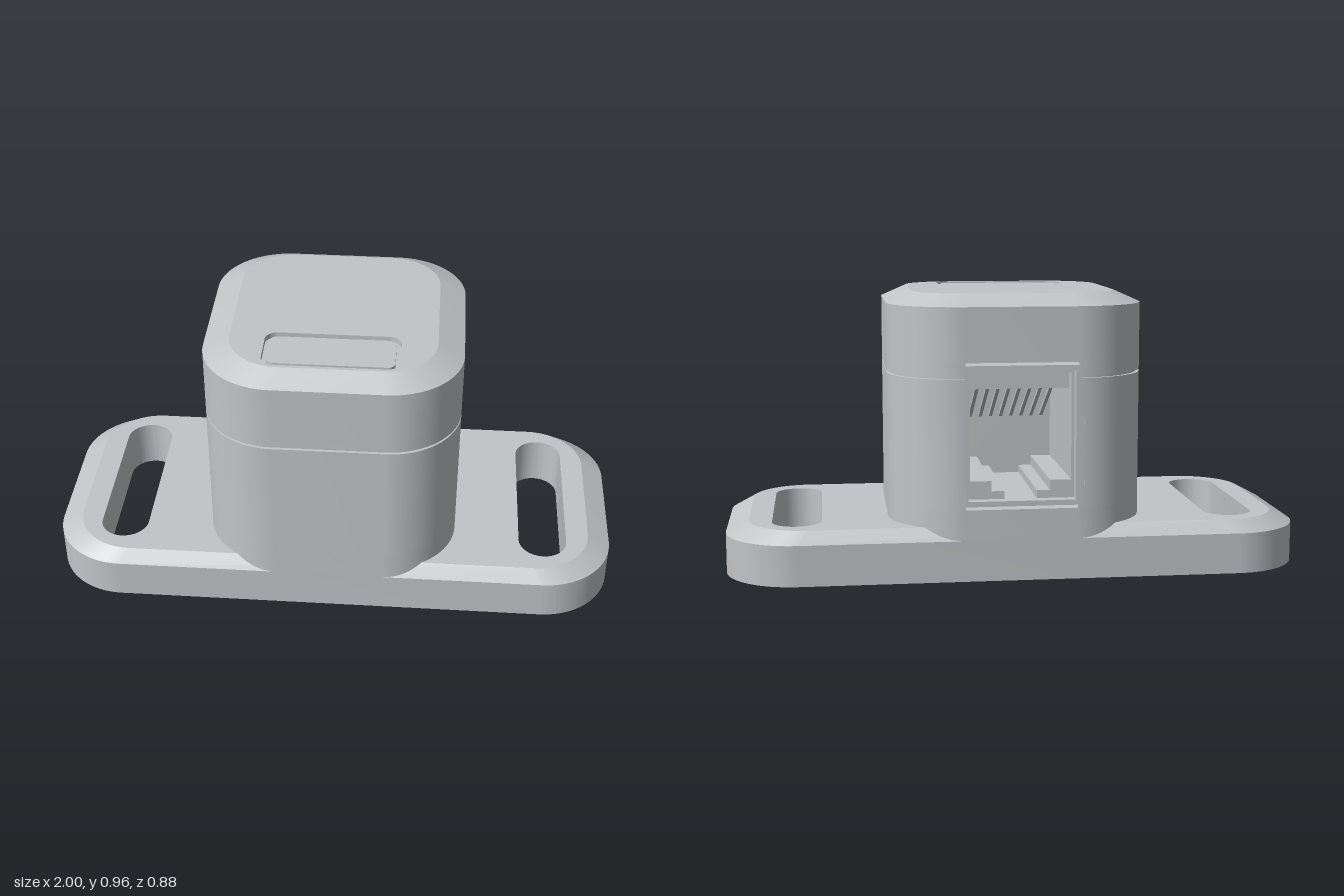
import * as THREE from 'three';
import { toCreasedNormals } from 'three/addons/utils/BufferGeometryUtils.js';

const grey = new THREE.MeshStandardMaterial({ color: 0xc2c4c8 });
grey.name = 'light grey plastic';

// Rounded rectangle, optionally notched in its +y side (the back, once laid flat)
function roundRect(hx, hy, r, cx = 0, cy = 0, notchHalf = 0, notchDepth = 0) {
  const s = new THREE.Shape();
  const H = Math.PI / 2;
  s.moveTo(cx + hx, cy - hy + r);
  s.absarc(cx + hx - r, cy + hy - r, r, 0, H, false);
  if (notchHalf) {
    s.lineTo(notchHalf, hy);
    s.lineTo(notchHalf, hy - notchDepth);
    s.lineTo(-notchHalf, hy - notchDepth);
    s.lineTo(-notchHalf, hy);
  }
  s.absarc(cx - hx + r, cy + hy - r, r, H, 2 * H, false);
  s.absarc(cx - hx + r, cy - hy + r, r, 2 * H, 3 * H, false);
  s.absarc(cx + hx - r, cy - hy + r, r, 3 * H, 4 * H, false);
  return s;
}

function withHoles(shape, ...holes) {
  shape.holes.push(...holes);
  return shape;
}

// Horizontal slab of a plan shape between two heights
function slab(shape, y0, y1) {
  const g = new THREE.ExtrudeGeometry(shape, { depth: y1 - y0, bevelEnabled: false, curveSegments: 14 });
  g.rotateX(-Math.PI / 2).translate(0, y0, 0);
  return toCreasedNormals(g, 0.5);
}

// Flat upward face of a plan shape
function sheet(shape, y) {
  return new THREE.ShapeGeometry(shape, 14).rotateX(-Math.PI / 2).translate(0, y, 0);
}

// Sloping band between two rounded rectangles [y, hx, hz, r]
function band(lower, upper) {
  const n = 14, pos = [], idx = [], count = 4 * (n + 1);
  for (const [y, hx, hz, r] of [lower, upper]) {
    for (let q = 0; q < 4; q++) {
      const sx = q === 0 || q === 3 ? 1 : -1, sz = q < 2 ? 1 : -1;
      for (let i = 0; i <= n; i++) {
        const a = (q + i / n) * Math.PI / 2;
        pos.push(sx * (hx - r) + r * Math.cos(a), y, -(sz * (hz - r) + r * Math.sin(a)));
      }
    }
  }
  for (let i = 0; i < count; i++) {
    const j = (i + 1) % count;
    idx.push(i, j, j + count, i, j + count, i + count);
  }
  const g = new THREE.BufferGeometry();
  g.setAttribute('position', new THREE.Float32BufferAttribute(pos, 3));
  g.setIndex(idx);
  return toCreasedNormals(g, 0.5);
}

export function createModel() {
  const model = new THREE.Group();
  model.name = 'mountedSocketBox';
  const add = (name, geometry, parent = model) => {
    const m = new THREE.Mesh(geometry, grey);
    m.name = name;
    parent.add(m);
    return m;
  };
  const group = (name) => {
    const g = new THREE.Group();
    g.name = name;
    model.add(g);
    return g;
  };

  // Mounting base: hollow rim, ceiling, chamfer and top with two slots
  const base = group('mountingBase');
  const slot = (side, grow = 0) => roundRect(0.085 + grow, 0.335 + grow, 0.0849 + grow, side * 0.755, 0);
  const slots = () => [slot(-1), slot(1)];
  add('baseRim', slab(withHoles(roundRect(1, 0.44, 0.25), roundRect(0.965, 0.405, 0.215)), 0, 0.14), base);
  add('baseCeiling', slab(withHoles(roundRect(0.98, 0.42, 0.23), ...slots()), 0.125, 0.139), base);
  add('baseChamfer', band([0.14, 1, 0.44, 0.25], [0.182, 0.92, 0.4, 0.2]), base);
  add('baseTop', sheet(withHoles(roundRect(0.92, 0.4, 0.2), ...slots()), 0.182), base);

  // Underside: slot walls, screw bosses and stiffening ribs
  const under = group('underside');
  const rib = (w, d, x, z) => add('rib', new THREE.BoxGeometry(w, 0.12, d).translate(x, 0.075, z), under);
  for (const sx of [-1, 1]) {
    add('slotWall', slab(withHoles(slot(sx, 0.028), slot(sx)), 0.002, 0.181), under);
    for (const sz of [-1, 1]) {
      const boss = new THREE.Shape().absarc(sx * 0.27, sz * 0.26, 0.095, 0, Math.PI * 2, false);
      const bore = new THREE.Path().absarc(sx * 0.27, sz * 0.26, 0.065, 0, Math.PI * 2, true);
      add('screwBoss', slab(withHoles(boss, bore), 0, 0.13), under);
      rib(0.024, 0.08, sx * 0.27, sz * 0.375);
      rib(0.024, 0.08, sx * 0.755, sz * 0.38);
    }
    rib(0.024, 0.34, sx * 0.27, 0);
    rib(0.11, 0.024, sx * 0.92, 0);
  }
  rib(1.3, 0.024, 0, 0);
  rib(0.024, 0.82, 0, 0);

  // Housing: lower body, seam and lid, notched at the back for the socket
  const notchHalf = 0.21, notchDepth = 0.58, sill = 0.245, lintel = 0.74;
  const notched = (h, r) => roundRect(h, h, r, 0, 0, notchHalf, notchDepth - (0.44 - h));
  const housing = group('housing');
  add('bodyFoot', slab(roundRect(0.44, 0.44, 0.25), 0.14, sill), housing);
  add('body', slab(notched(0.44, 0.25), sill, 0.686), housing);
  add('seam', slab(notched(0.427, 0.237), 0.686, 0.694), housing);
  add('lidSkirt', slab(notched(0.44, 0.25), 0.694, lintel), housing);
  add('lid', slab(roundRect(0.44, 0.44, 0.25), lintel, 0.925), housing);
  add('lidChamfer', band([0.925, 0.44, 0.44, 0.25], [0.965, 0.35, 0.365, 0.18]), housing);

  // Lid top with a grooved label panel near the front
  const panel = (grow) => roundRect(0.212 + grow, 0.08 + grow, 0.025 + grow, 0, -0.255);
  add('lidTop', sheet(withHoles(roundRect(0.35, 0.365, 0.18), panel(0.017)), 0.965), housing);
  add('labelGroove', slab(withHoles(panel(0.03), panel(0.017)), 0.945, 0.9645), housing);
  add('labelPanel', slab(panel(0), 0.94, 0.96), housing);

  // Socket: rim, stepped cavity, back wall and contact wires
  const socket = group('socket');
  const rect = (x, y0, y1) => new THREE.Shape([[-x, y0], [x, y0], [x, y1], [-x, y1]].map((p) => new THREE.Vector2(...p)));
  const tunnel = (name, outer, hole, z, depth) => add(name,
    new THREE.ExtrudeGeometry(withHoles(outer, hole), { depth, bevelEnabled: false }).translate(0, 0, z), socket);
  tunnel('socketRim', rect(0.2, 0.255, 0.73), rect(0.182, 0.273, 0.712), -0.437, 0.04);
  const half = [[0.055, 0.273], [0.055, 0.3], [0.1, 0.3], [0.1, 0.335], [0.172, 0.335], [0.172, 0.7]];
  const outline = [...half, ...half.map(([x, y]) => [-x, y]).reverse()];
  tunnel('socketCavity', rect(0.2, 0.255, 0.73),
    new THREE.Shape(outline.map((p) => new THREE.Vector2(...p))), -0.397, 0.48);
  add('socketBack', new THREE.BoxGeometry(0.4, 0.475, 0.03).translate(0, 0.4925, 0.1), socket);
  add('contactBlock', new THREE.BoxGeometry(0.34, 0.06, 0.16).translate(0, 0.672, -0.27), socket);
  for (let i = 0; i < 8; i++) {
    const wire = add('contactWire', new THREE.BoxGeometry(0.012, 0.012, 0.34), socket);
    wire.position.set((i - 3.5) * 0.037, 0.58, -0.12);
    wire.rotation.x = 0.5;
  }
  return model;
}
